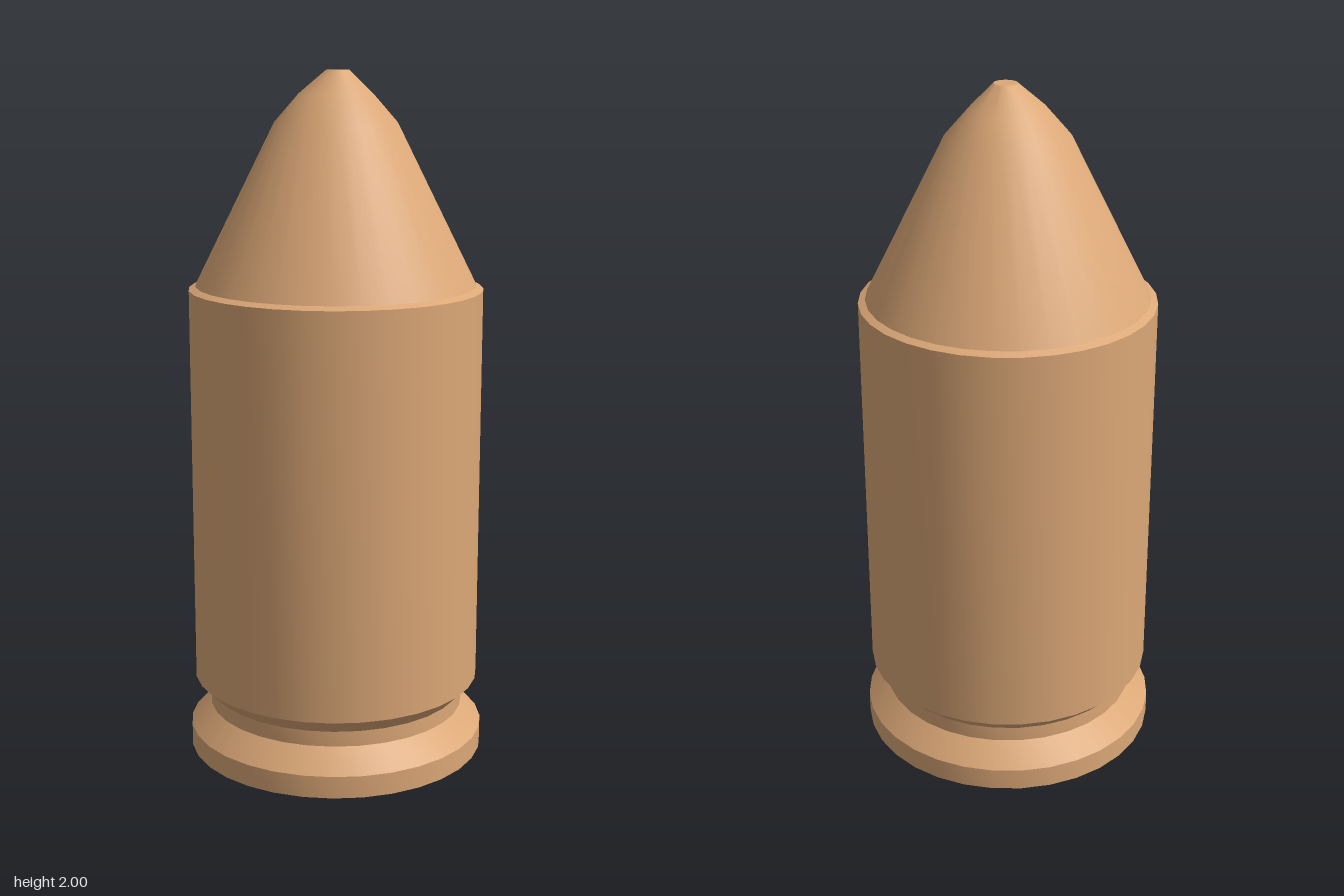
import * as THREE from 'three';
import { toCreasedNormals } from 'three/addons/utils/BufferGeometryUtils.js';

const SIDES = 32;
const copper = new THREE.MeshStandardMaterial({ color: 0xdca877 });

// Revolve a [radius, height] profile listed from bottom to top
function lathe(profile) {
  return new THREE.LatheGeometry(profile.map(([r, y]) => new THREE.Vector2(r, y)), SIDES);
}

function addPart(group, name, geometry) {
  const mesh = new THREE.Mesh(toCreasedNormals(geometry, 0.4), copper);
  mesh.name = name;
  group.add(mesh);
}

export function createModel() {
  const group = new THREE.Group();
  group.name = 'cartridge';

  // Closed base with bevelled rim and extractor groove
  addPart(group, 'rimAndGroove', lathe([
    [0, 0], [0.44, 0], [0.44, 0.065], [0.38, 0.13], [0.38, 0.175], [0.425, 0.22],
  ]));

  // Straight case wall with its mouth lip
  addPart(group, 'case', lathe([
    [0.425, 0.22], [0.425, 1.385], [0.405, 1.395],
  ]));

  // Conical bullet with a rounded nose and small flat tip
  const bullet = lathe([
    [0.405, 1.395], [0.175, 1.855], [0.105, 1.935], [0.033, 2], [0, 2],
  ]);
  // The flat tip sits slightly forward of the axis
  const pos = bullet.attributes.position;
  for (let i = 0; i < pos.count; i++) {
    if (pos.getY(i) > 1.99) pos.setZ(i, pos.getZ(i) + 0.01);
  }
  addPart(group, 'bullet', bullet);

  return group;
}
